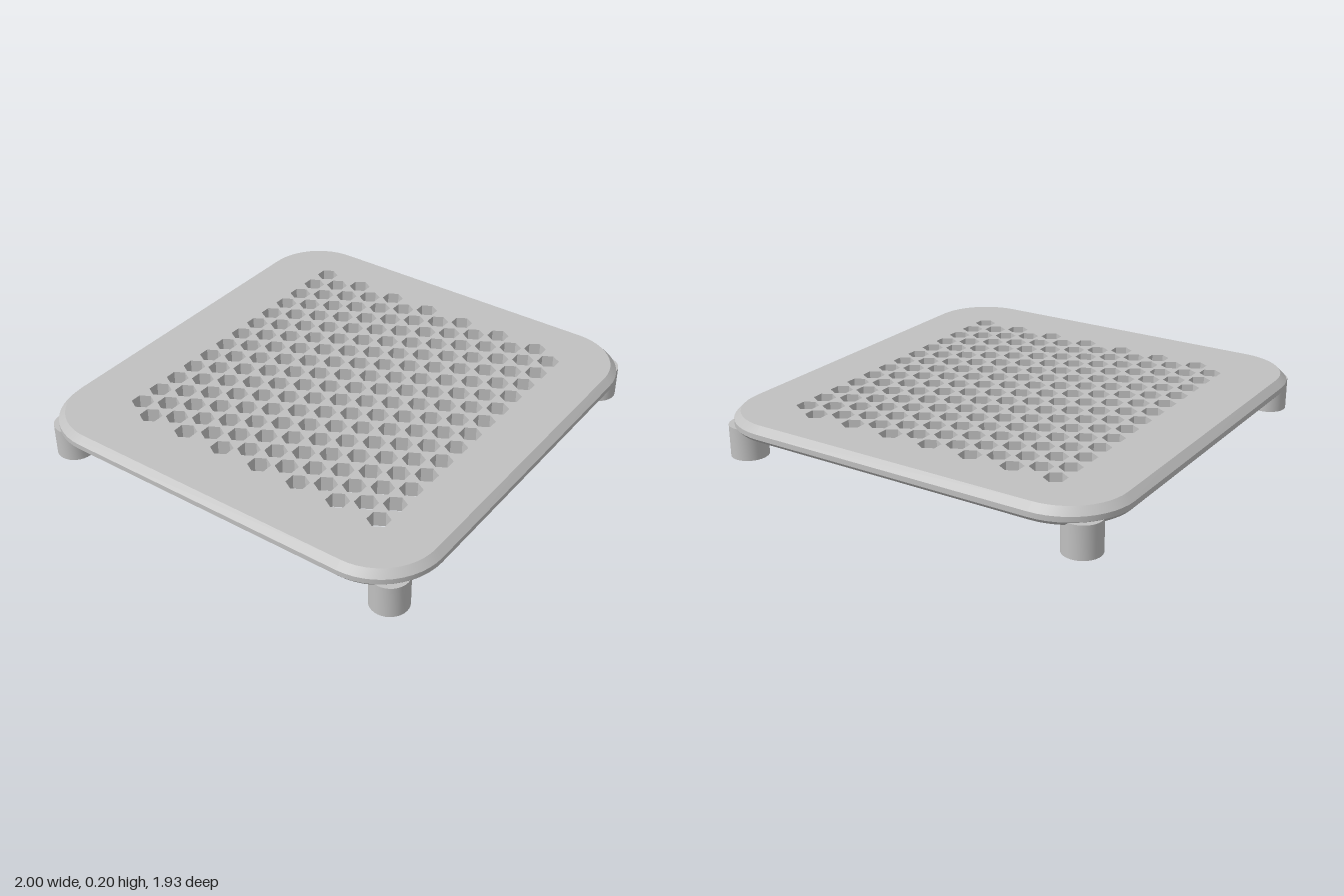
import * as THREE from 'three';
import { mergeGeometries, toCreasedNormals } from 'three/addons/utils/BufferGeometryUtils.js';

const HALF_X = 1, HALF_Z = 0.963, CORNER = 0.29;
const BOTTOM = 0.13, TOP = 0.2;

// Counter-clockwise rounded rectangle, shrunk by an inset
function outline(inset) {
  const pts = [], r = CORNER - inset, steps = 12;
  [[1, 1], [-1, 1], [-1, -1], [1, -1]].forEach(([sx, sy], q) => {
    for (let i = 0; i <= steps; i++) {
      const a = (q + i / steps) * Math.PI / 2;
      pts.push(new THREE.Vector2(
        sx * (HALF_X - CORNER) + r * Math.cos(a),
        sy * (HALF_Z - CORNER) + r * Math.sin(a)));
    }
  });
  return pts;
}

// Staggered grid of clockwise hexagons
function hexagons() {
  const holes = [], pitch = 0.1148, row = 0.0998, r = 0.05;
  for (let j = 0; j < 14; j++) {
    for (let i = 0; i < 13; i++) {
      const x = -0.692 + i * pitch + (j % 2 ? 0 : pitch / 2);
      const y = 0.638 - j * row;
      holes.push(Array.from({ length: 6 }, (_, k) => new THREE.Vector2(
        x + r * Math.cos(k * Math.PI / 3), y - r * Math.sin(k * Math.PI / 3))));
    }
  }
  return holes;
}

// Wall joining two matching loops at two heights
function band(low, z0, high, z1) {
  const pos = [];
  low.forEach((a, i) => {
    const j = (i + 1) % low.length, b = low[j], c = high[j], d = high[i];
    pos.push(a.x, a.y, z0, b.x, b.y, z0, c.x, c.y, z1);
    pos.push(a.x, a.y, z0, c.x, c.y, z1, d.x, d.y, z1);
  });
  const g = new THREE.BufferGeometry();
  g.setAttribute('position', new THREE.Float32BufferAttribute(pos, 3));
  return g;
}

// Perforated flat face, facing up or down
function cap(points, holes, z, down) {
  const shape = new THREE.Shape(points);
  shape.holes = holes.map(h => new THREE.Path(h));
  const g = new THREE.ShapeGeometry(shape);
  if (down) g.setIndex(Array.from(g.index.array).reverse());
  g.translate(0, 0, z);
  const flat = g.toNonIndexed();
  flat.deleteAttribute('uv');
  flat.deleteAttribute('normal');
  return flat;
}

export function createModel() {
  const grey = new THREE.MeshStandardMaterial({ color: 0xc0c0c0 });
  grey.name = 'light grey';
  const model = new THREE.Group();
  model.name = 'perforatedStand';

  // Plate with chamfered rim and hexagonal openings
  const holes = hexagons();
  const rim = [[0.015, BOTTOM], [0, 0.147], [0, 0.17], [0.03, TOP]];
  const parts = [cap(outline(0.03), holes, TOP, false), cap(outline(0.015), holes, BOTTOM, true)];
  for (let i = 0; i < rim.length - 1; i++) {
    parts.push(band(outline(rim[i][0]), rim[i][1], outline(rim[i + 1][0]), rim[i + 1][1]));
  }
  holes.forEach(h => parts.push(band(h, BOTTOM, h, TOP)));
  const plateGeometry = mergeGeometries(parts);
  plateGeometry.rotateX(-Math.PI / 2);
  plateGeometry.computeVertexNormals();
  const plate = new THREE.Mesh(toCreasedNormals(plateGeometry, 0.5), grey);
  plate.name = 'plate';
  model.add(plate);

  // Round feet with a blind hole underneath
  const profile = [[0, 0.1], [0.035, 0.1], [0.035, 0], [0.083, 0], [0.083, 0.145], [0, 0.145]]
    .map(([x, y]) => new THREE.Vector2(x, y));
  const footGeometry = toCreasedNormals(new THREE.LatheGeometry(profile, 32), 0.5);
  for (const [sx, side] of [[1, 'Left'], [-1, 'Right']]) {
    for (const [sz, end] of [[1, 'front'], [-1, 'back']]) {
      const foot = new THREE.Mesh(footGeometry, grey);
      foot.name = `${end}${side}Foot`;
      foot.position.set(sx * 0.875, 0, sz * 0.836);
      model.add(foot);
    }
  }
  return model;
}
